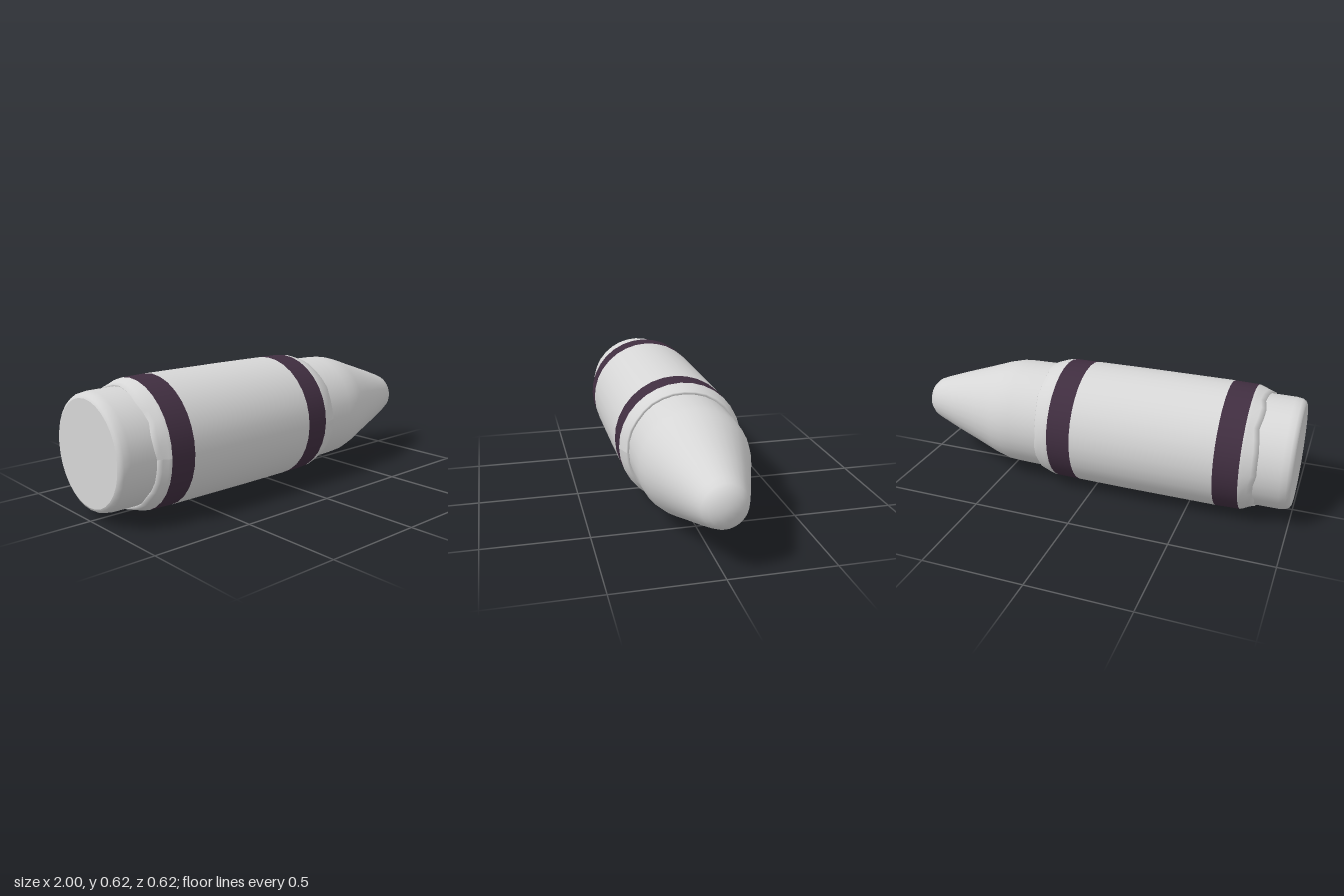
import * as THREE from 'three';

const SIDES = 32;
const AXIS_Y = 0.311;

// Turned part lying along x: profile is [x, radius] from the back to the tip
function turned(name, profile, material) {
  const points = profile.map(([x, r]) => new THREE.Vector2(r, x));
  const mesh = new THREE.Mesh(new THREE.LatheGeometry(points, SIDES), material);
  mesh.name = name;
  mesh.rotation.z = -Math.PI / 2;
  return mesh;
}

// Make the paper edge ragged: shift the rings beyond edgeX along the axis
function ragged(mesh, edgeX, direction, depth) {
  const p = mesh.geometry.attributes.position;
  for (let i = 0; i < p.count; i++) {
    if ((p.getY(i) - edgeX) * direction < 0) continue;
    const a = Math.atan2(p.getX(i), p.getZ(i));
    const wave = Math.sin(3 * a + 1) * 0.4 + Math.sin(7 * a) * 0.4 + Math.sin(11 * a + 2) * 0.3;
    p.setY(i, p.getY(i) + wave * depth);
  }
  mesh.geometry.computeVertexNormals();
  return mesh;
}

export function createModel() {
  const grey = new THREE.MeshStandardMaterial({ color: 0xd6d6d6 });
  grey.name = 'pale grey';
  const purple = new THREE.MeshStandardMaterial({ color: 0x402e40 });
  purple.name = 'dark purple';

  const model = new THREE.Group();
  model.name = 'crayon';
  const body = new THREE.Group();
  body.name = 'body';
  body.position.y = AXIS_Y;
  model.add(body);

  // Wax stick: flat back end, then the rounded back edge
  body.add(turned('backEnd', [[-1, 0], [-1, 0.247]], grey));
  body.add(turned('waxBack', [
    [-1, 0.247], [-0.994, 0.259], [-0.98, 0.268], [-0.95, 0.273], [-0.78, 0.274],
  ], grey));

  // Wax nose with soft shoulder, long taper and blunt tip
  body.add(turned('waxNose', [
    [0.2, 0.274], [0.3, 0.273], [0.42, 0.271], [0.48, 0.267], [0.54, 0.252],
    [0.65, 0.213], [0.8, 0.162], [0.92, 0.118], [0.955, 0.103], [0.98, 0.08],
    [0.995, 0.045], [1, 0.015], [1, 0],
  ], grey));

  // Paper wrapper: torn ends, plain middle and two printed bands
  body.add(ragged(turned('wrapperBackEdge', [
    [-0.82, 0.268], [-0.835, 0.283], [-0.81, 0.291], [-0.78, 0.304], [-0.765, 0.308],
  ], grey), -0.8, -1, 0.014));
  body.add(turned('backBand', [[-0.765, 0.308], [-0.645, 0.311]], purple));
  body.add(turned('wrapperMiddle', [[-0.645, 0.311], [-0.2, 0.311], [0.07, 0.309]], grey));
  body.add(turned('frontBand', [[0.07, 0.309], [0.19, 0.308]], purple));
  body.add(ragged(turned('wrapperFrontEdge', [
    [0.19, 0.308], [0.215, 0.305], [0.24, 0.296], [0.268, 0.286], [0.272, 0.279], [0.265, 0.268],
  ], grey), 0.25, 1, 0.007));

  return model;
}
